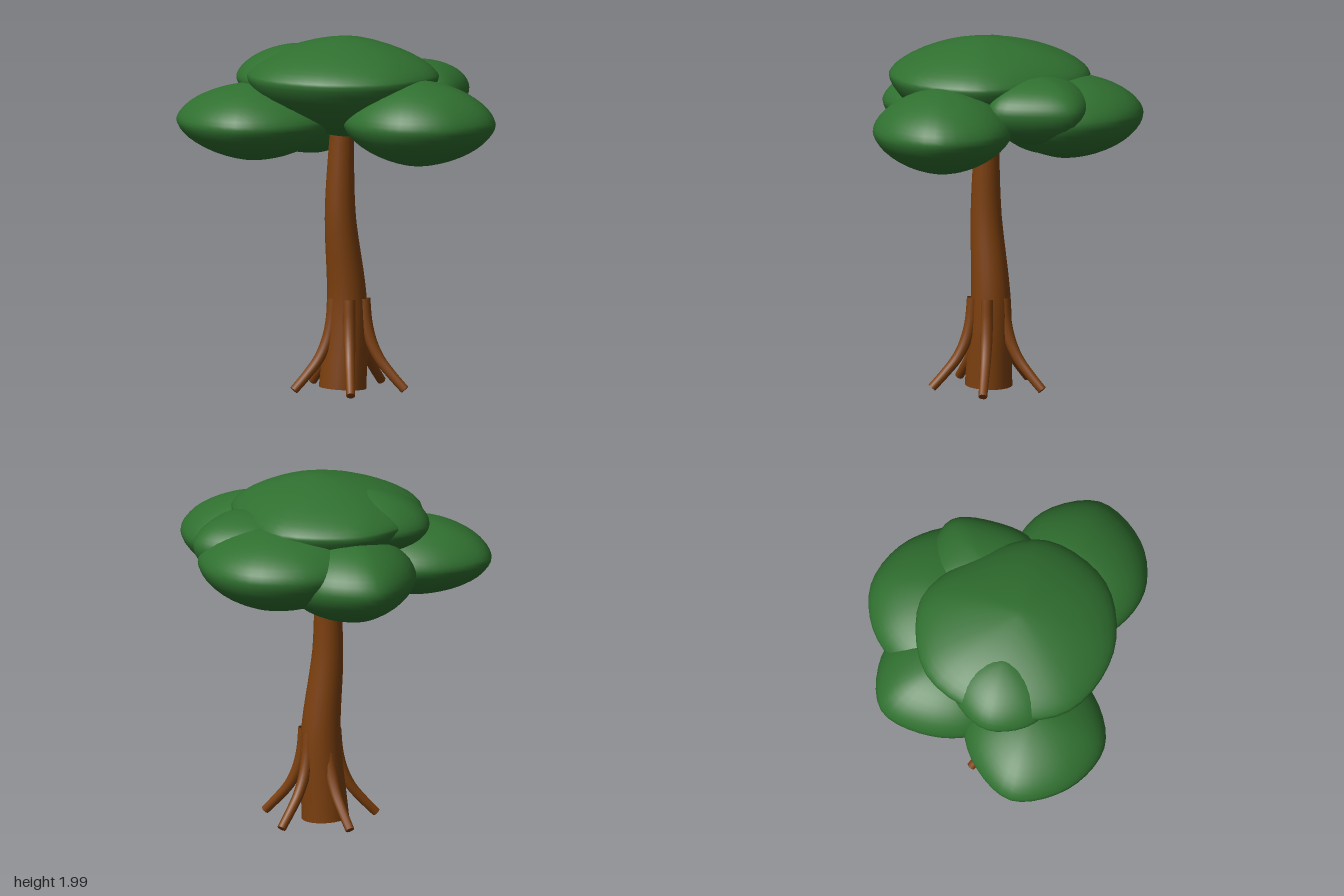
import * as THREE from 'three';
import { mergeVertices } from 'three/addons/utils/BufferGeometryUtils.js';

const leaf = new THREE.MeshStandardMaterial({ color: 0x307030 });
leaf.name = 'leaf green';
const bark = new THREE.MeshStandardMaterial({ color: 0x7d400e, side: THREE.DoubleSide });
bark.name = 'bark brown';

// Tube along points [x, y, z], with a radius for each point
function taperedTube(name, points, radii, segments, sides) {
  const curve = new THREE.CatmullRomCurve3(points.map(p => new THREE.Vector3(...p)));
  const geo = new THREE.TubeGeometry(curve, segments, 1, sides);
  const pos = geo.attributes.position, v = new THREE.Vector3();
  for (let i = 0; i < pos.count; i++) {
    const t = Math.floor(i / (sides + 1)) / segments;
    const k = t * (radii.length - 1), a = Math.min(Math.floor(k), radii.length - 2);
    const r = THREE.MathUtils.lerp(radii[a], radii[a + 1], k - a);
    const c = curve.getPointAt(t);
    v.fromBufferAttribute(pos, i).sub(c).multiplyScalar(r).add(c);
    pos.setXYZ(i, v.x, v.y, v.z);
  }
  const mesh = new THREE.Mesh(geo, bark);
  mesh.name = name;
  return mesh;
}

// Leaf clump: eight outline radii (from +x towards +z), lens-shaped above and below its middle
function clump(name, [x, y, z], up, down, radii, p = 1.7) {
  const outline = new THREE.CatmullRomCurve3(radii.map((r, i) =>
    new THREE.Vector3(r * Math.cos(i * Math.PI / 4), 0, r * Math.sin(i * Math.PI / 4))), true, 'catmullrom', 0.5);
  let geo = new THREE.SphereGeometry(1, 40, 24);
  geo.deleteAttribute('uv');
  geo.deleteAttribute('normal');
  geo = mergeVertices(geo, 1e-4);
  const pos = geo.attributes.position;
  for (let i = 0; i < pos.count; i++) {
    const px = pos.getX(i), py = pos.getY(i), pz = pos.getZ(i);
    const turn = (Math.atan2(pz, px) / (2 * Math.PI) + 1) % 1;
    const flat = Math.pow(Math.min(1, Math.hypot(px, pz)), 2 / p);
    const rise = Math.sign(py) * Math.pow(Math.abs(py), 2 / p);
    const edge = outline.getPoint(turn);
    pos.setXYZ(i, edge.x * flat, rise * (py > 0 ? up : down), edge.z * flat);
  }
  geo.computeVertexNormals();
  const mesh = new THREE.Mesh(geo, leaf);
  mesh.name = name;
  mesh.position.set(x, y, z);
  return mesh;
}

export function createModel() {
  const tree = new THREE.Group();
  tree.name = 'tree';

  // Gently bent trunk, open at the ends
  tree.add(taperedTube('trunk',
    [[-0.025, 0.025, 0.115], [-0.005, 0.5, 0.1], [-0.035, 1, 0.13], [-0.028, 1.46, 0.125]],
    [0.133, 0.112, 0.087, 0.067], 24, 24));

  // Five flared roots around the trunk
  const profile = [[0.09, 0.53], [0.102, 0.4], [0.13, 0.29], [0.18, 0.19], [0.25, 0.105], [0.325, 0.025]];
  for (let i = 0; i < 5; i++) {
    const root = new THREE.Group();
    root.name = 'root' + (i + 1);
    root.add(taperedTube('rootStem', profile.map(([r, y]) => [r, y, 0]),
      [0.034, 0.034, 0.033, 0.03, 0.027, 0.025], 18, 10));
    const tip = new THREE.Mesh(new THREE.CircleGeometry(0.025, 10), bark);
    tip.name = 'rootTip';
    tip.position.set(0.325, 0.025, 0);
    tip.lookAt(0.4, -0.055, 0);
    root.add(tip);
    root.position.set(0.008, 0, 0.11);
    root.rotation.y = -i * Math.PI * 2 / 5;
    tree.add(root);
  }

  // Overlapping leaf clumps
  const crown = new THREE.Group();
  crown.name = 'crown';
  crown.add(
    clump('topClump', [0, 1.79, 0.13], 0.21, 0.35, [0.53, 0.54, 0.54, 0.57, 0.56, 0.6, 0.58, 0.48], 1.55),
    clump('upperLeftClump', [-0.28, 1.76, 0.12], 0.19, 0.18, [0.3, 0.3, 0.32, 0.34, 0.35, 0.32, 0.3, 0.3]),
    clump('frontRightSideClump', [-0.47, 1.54, 0.34], 0.215, 0.22, [0.43, 0.39, 0.415, 0.41, 0.445, 0.39, 0.39, 0.4]),
    clump('frontLeftSideClump', [0.47, 1.56, 0.32], 0.24, 0.24, [0.44, 0.4, 0.39, 0.39, 0.43, 0.4, 0.39, 0.41]),
    clump('backClump', [0.07, 1.6, -0.33], 0.21, 0.25, [0.47, 0.4, 0.4, 0.4, 0.46, 0.43, 0.43, 0.43], 1.8),
    clump('backLeftClump', [0.3, 1.67, -0.2], 0.17, 0.21, [0.29, 0.34, 0.28, 0.28, 0.28, 0.32, 0.29, 0.33], 1.9),
    clump('backRightClump', [-0.3, 1.53, -0.2], 0.24, 0.24, [0.35, 0.35, 0.33, 0.38, 0.37, 0.43, 0.39, 0.38], 1.8));
  tree.add(crown);
  return tree;
}
